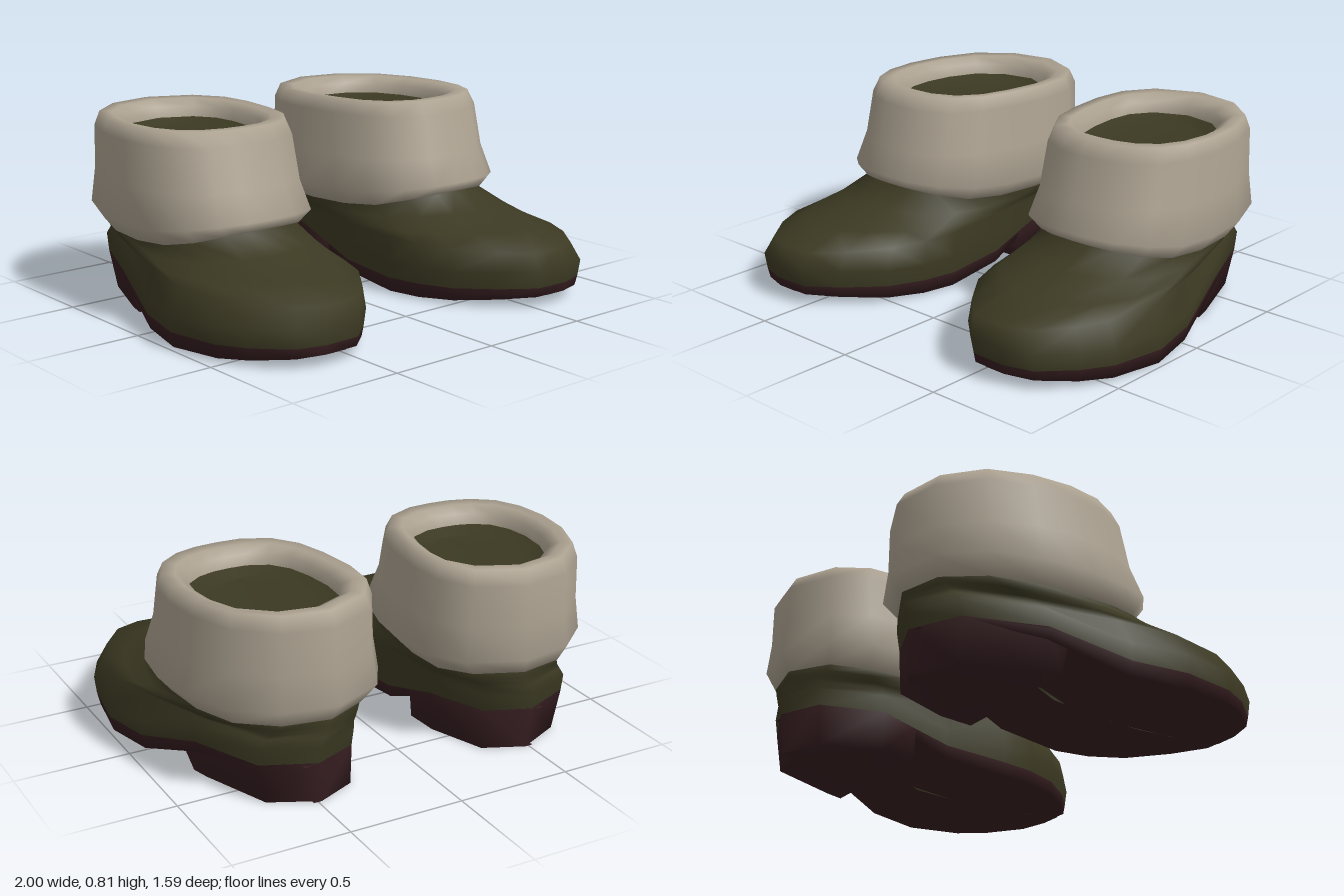
import * as THREE from 'three';

const green = new THREE.MeshStandardMaterial({ name: 'olive felt', color: 0x3b3922 });
const cream = new THREE.MeshStandardMaterial({ name: 'cream fleece', color: 0xaba190 });
const brown = new THREE.MeshStandardMaterial({ name: 'dark brown sole', color: 0x381f22 });
green.side = cream.side = brown.side = THREE.DoubleSide;

// Plan outlines [x, z] of the left boot: toe, outer side, heel, inner side
const FOOT = [[.5, .79], [.665, .797], [.787, .755], [.9, .615], [.965, .48], [1, .23], [.95, -.01], [.85, -.34],
  [.72, -.66], [.5, -.76], [.31, -.68], [.21, -.42], [.185, -.1], [.168, .2], [.193, .36], [.253, .52], [.377, .68]];
const CUFF = [[.52, .27], [.63, .262], [.745, .225], [.85, .14], [.912, 0], [.932, -.18], [.908, -.39], [.828, -.6],
  [.66, -.75], [.43, -.795], [.21, -.69], [.115, -.53], [.1, -.34], [.125, -.12], [.17, .06], [.26, .195], [.4, .262]];
const HEEL = [[.53, -.258], [.873, -.258], ...FOOT.slice(7, 12), [.198, -.258]];

// Piecewise linear height along z; stops run from back to front
const along = (stops) => (z) => {
  if (z <= stops[0][0]) return stops[0][1];
  for (let i = 1; i < stops.length; i++) {
    const [z0, y0] = stops[i - 1], [z1, y1] = stops[i];
    if (z <= z1) return y0 + (y1 - y0) * (z - z0) / (z1 - z0);
  }
  return stops[stops.length - 1][1];
};
const welt = along([[-.75, .178], [-.34, .172], [-.1, .085], [.1, .068], [.5, .075], [.8, .09]]);
const tread = along([[-.75, .168], [-.4, .155], [-.25, .08], [-.07, .02], [.08, .006], [.3, .006], [.55, .022], [.78, .05]]);
const shoulder = along([[-.75, .29], [-.2, .265], [.2, .25], [.8, .238]]);
const cuffHem = along([[-.75, .36], [-.5, .337], [-.2, .337], [-.05, .343], [.08, .362], [.18, .393], [.24, .412]]);
const flareHem = along([[-.79, .43], [-.3, .41], [0, .415], [.27, .455]]);

// Ring of points: outline scaled about a centre, at a constant or varying height
function ring(outline, [cx, cz], sx, sz, y) {
  return outline.map(([px, pz]) => {
    const x = cx + (px - cx) * sx, z = cz + (pz - cz) * sz;
    return [x, typeof y === 'function' ? y(z) : y, z];
  });
}
// Ring between two others; the height may lag behind for a hollow slope
const mix = (a, b, t, ty) => a.map((p, i) => p.map((v, k) => v + (b[i][k] - v) * (k === 1 ? ty : t)));
// Ring squeezed onto its lengthwise centre line, used to close a surface
const spine = (r, x) => r.map((p) => [x, p[1], p[2]]);

// Smooth skin through a stack of rings; side -1 mirrors it
function loft(name, rings, material, side) {
  const n = rings[0].length, index = [];
  const position = rings.flat().flatMap(([x, y, z]) => [x * side, y, z]);
  for (let k = 0; k < rings.length - 1; k++) {
    for (let i = 0; i < n; i++) {
      const a = k * n + i, b = k * n + (i + 1) % n, c = b + n, d = a + n;
      if (side > 0) index.push(a, b, c, a, c, d);
      else index.push(a, c, b, a, d, c);
    }
  }
  const geometry = new THREE.BufferGeometry();
  geometry.setAttribute('position', new THREE.Float32BufferAttribute(position, 3));
  geometry.setIndex(index);
  geometry.computeVertexNormals();
  const mesh = new THREE.Mesh(geometry, material);
  mesh.name = name;
  return mesh;
}

function boot(side) {
  const group = new THREE.Group();
  group.name = side > 0 ? 'leftBoot' : 'rightBoot';
  const footMid = [.56, 0], ankleMid = [.55, -.2], openMid = [.51, -.37];

  // Upper: welt, widest line, shoulder, then over the instep to the ankle
  const seam = ring(FOOT, footMid, .985, .985, welt);
  const brim = ring(FOOT, footMid, 1, 1, (z) => welt(z) + .072);
  const top = ring(FOOT, [.3, -.75], .93, .98, shoulder);
  const ankle = ring(CUFF, ankleMid, .83, .925, cuffHem);
  const shaft = ring(CUFF, ankleMid, .81, .87, .52);
  group.add(loft('upper', [
    seam, brim, top, mix(top, ankle, .35, .28), mix(top, ankle, .7, .62), ankle, shaft,
  ], green, side));

  // Sole: underside curving up to the welt
  const edge = ring(FOOT, footMid, .955, .975, tread);
  group.add(loft('sole', [spine(edge, .56), edge, seam], brown, side));

  // Heel block, flush with the welt and tapering down
  const heelLow = ring(HEEL, [.35, -.258], .9, .955, 0);
  const heelHigh = ring(HEEL, footMid, .986, .986, welt);
  group.add(loft('heel', [spine(heelLow, .52), heelLow, heelHigh], brown, side));

  // Turned-down cuff: tucked hem, flare, wall, rounded rim, inner lip
  group.add(loft('cuff', [
    ring(CUFF, ankleMid, .81, .9, cuffHem),
    ring(CUFF, ankleMid, .84, .935, cuffHem),
    ring(CUFF, [.515, -.5], 1, 1, flareHem),
    ring(CUFF, [.515, -.56], .935, .93, .565),
    ring(CUFF, [.515, -.64], .905, .89, .75),
    ring(CUFF, [.515, -.51], .865, .82, .81),
    ring(CUFF, [.515, -.42], .75, .71, .808),
    ring(CUFF, openMid, .65, .615, .78),
    ring(CUFF, openMid, .63, .595, .72),
  ], cream, side));

  // Shallow lining inside the opening
  const lining = ring(CUFF, openMid, .45, .5, .71);
  group.add(loft('lining', [ring(CUFF, openMid, .64, .605, .735), lining, spine(lining, .51)], green, side));
  return group;
}

export function createModel() {
  const model = new THREE.Group();
  model.name = 'boots';
  model.add(boot(1), boot(-1));
  return model;
}
